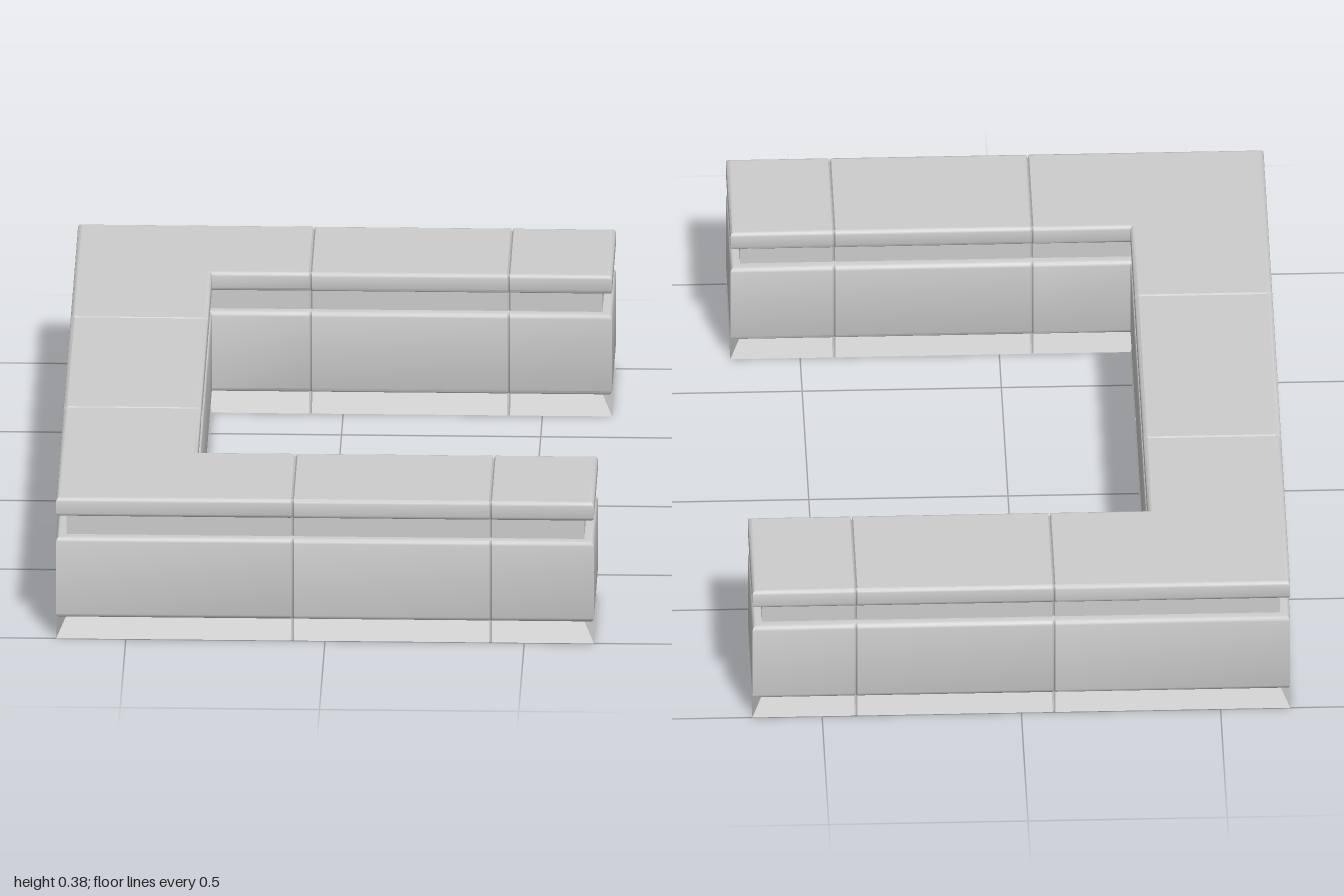
import * as THREE from 'three';
import { toCreasedNormals } from 'three/addons/utils/BufferGeometryUtils.js';

const ARM_SEAMS = [-0.082, 0.415];
const BACK_SEAMS = [-0.32, 0.335];
const GROOVE = { half: 0.004, depth: 0.006 };

// Seams crossed by each leg of the outline, in travelling order
const flip = (list) => [...list].reverse();
const LEG_SEAMS = [
  ARM_SEAMS, [], flip(ARM_SEAMS), flip(BACK_SEAMS),
  ARM_SEAMS, [], flip(ARM_SEAMS), BACK_SEAMS,
];

// Closed U outline at height y, pulled in by d, with a small notch at every seam
function ring([d, y], notchDrop = 0) {
  const x0 = -0.675 + d, xi = -0.329 - d, x1 = 0.675 - d, zo = 1 - d, zi = 0.653 + d;
  const corners = [[x0, zo], [x1, zo], [x1, zi], [xi, zi], [xi, -zi], [x1, -zi], [x1, -zo], [x0, -zo]];
  const points = [];
  corners.forEach(([x, z], i) => {
    const [nx, nz] = corners[(i + 1) % corners.length];
    const dx = Math.sign(nx - x), dz = Math.sign(nz - z);
    points.push([x, y, z]);
    for (const seam of LEG_SEAMS[i]) {
      for (const k of [-1, 0, 1]) {
        const inward = k === 0 ? GROOVE.depth : 0;
        const along = k * GROOVE.half;
        points.push([
          (dx ? seam : x) + dx * along + dz * inward,
          k === 0 ? y - notchDrop : y,
          (dz ? seam : z) + dz * along - dx * inward,
        ]);
      }
    }
  });
  return points;
}

const quad = (pos, a, b, c, d) => pos.push(...a, ...b, ...c, ...a, ...c, ...d);

function toGeometry(pos) {
  const geo = new THREE.BufferGeometry();
  geo.setAttribute('position', new THREE.Float32BufferAttribute(pos, 3));
  return toCreasedNormals(geo, 0.7);
}

// Hollow wall: a profile of [inset, y] points carried round the outline
function wall(profile, topDrop = 0) {
  const pos = [];
  const rings = profile.map((p, i) => ring(p, i === profile.length - 1 ? topDrop : 0));
  for (let r = 0; r + 1 < rings.length; r++) {
    const low = rings[r], high = rings[r + 1];
    low.forEach((p, i) => {
      const j = (i + 1) % low.length;
      quad(pos, p, low[j], high[j], high[i]);
    });
  }
  return toGeometry(pos);
}

// Flat lid: joins opposite outline points along each arm and the back
function lid(point) {
  const pos = [];
  const rim = ring(point, GROOVE.depth);
  for (const [start, sum] of [[0, 15], [15, 59], [22, 59]]) {
    const across = (i) => rim[(sum - i) % rim.length];
    for (let i = start; i < start + 7; i++) quad(pos, rim[i], rim[i + 1], across(i + 1), across(i));
  }
  return toGeometry(pos);
}

// Rounded slab side from y0 to y1 with edge radius r
function roundedSide(y0, y1, r, steps = 3) {
  const low = [], high = [];
  for (let i = 0; i <= steps; i++) {
    const t = (i / steps) * Math.PI / 2, s = r * Math.sin(t), c = r * Math.cos(t);
    low.push([r - s, y0 + r - c]);
    high.push([r - c, y1 - r + s]);
  }
  return [...low, ...high];
}

export function createModel() {
  const group = new THREE.Group();
  group.name = 'counter';
  const grey = new THREE.MeshStandardMaterial({ color: 0xcccccc, side: THREE.DoubleSide });
  grey.name = 'light grey';

  const add = (name, geo) => {
    const mesh = new THREE.Mesh(geo, grey);
    mesh.name = name;
    group.add(mesh);
  };

  const neckInset = 0.025, plinthInset = 0.027;
  const topSide = roundedSide(0.325, 0.375, 0.01);

  // Flared plinth, rounded body, recessed neck and top slab, open underneath
  add('plinth', wall([[0, 0], [plinthInset, 0.055]]));
  add('body', wall([[plinthInset, 0.055], ...roundedSide(0.055, 0.27, 0.012), [neckInset, 0.27]]));
  add('neck', wall([[neckInset, 0.27], [neckInset, 0.325]]));
  add('topEdge', wall([[neckInset, 0.325], ...topSide], GROOVE.depth));
  add('topSurface', lid(topSide[topSide.length - 1]));
  return group;
}
